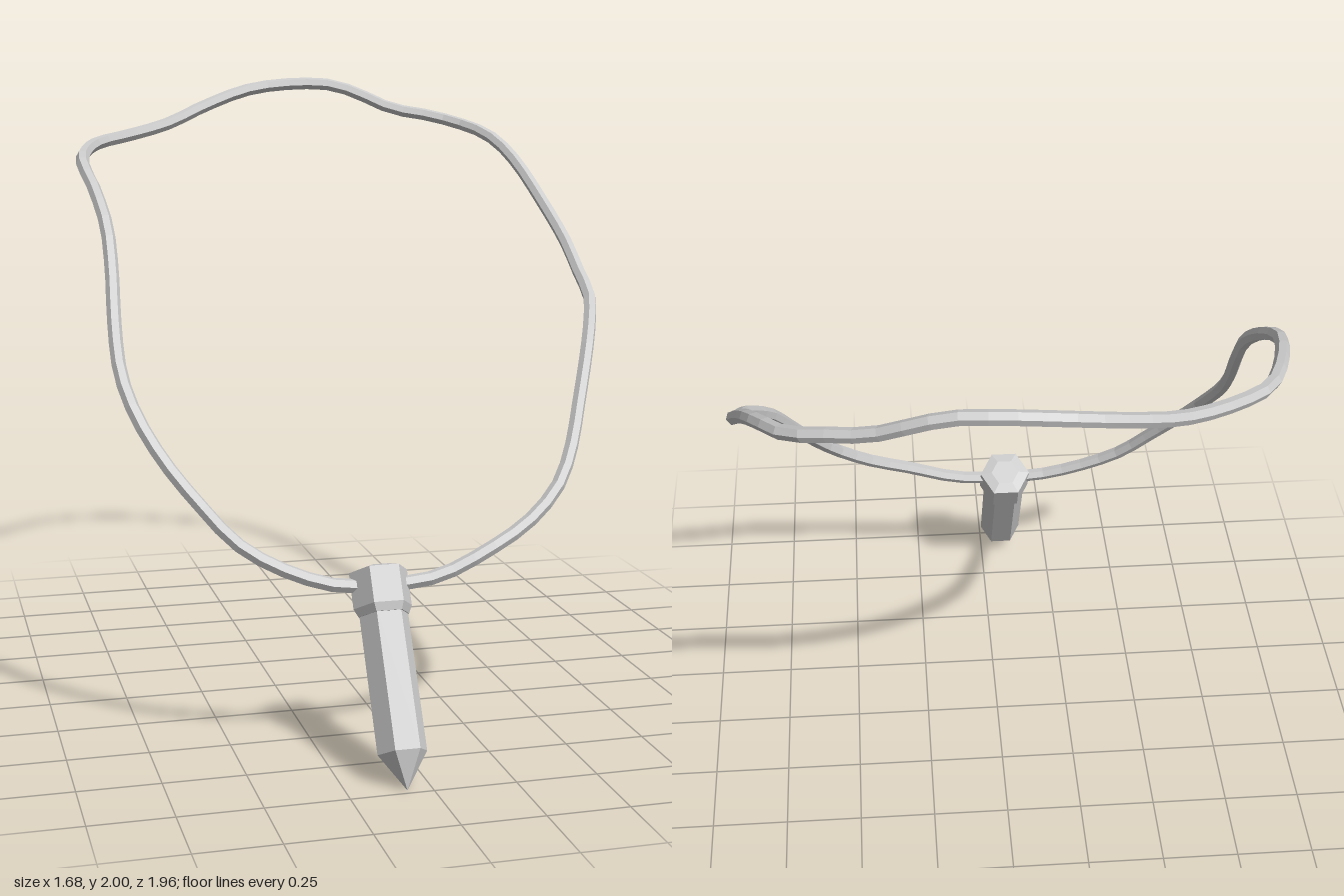
import * as THREE from 'three';

const material = new THREE.MeshStandardMaterial({ color: 0xcccccc, flatShading: true });

// Centre line of the cord, from the pendant round the left side, the back and the right side
const cordPoints = [
  [-0.07, 0.53, 0.68], [0.02, 0.53, 0.68], [0.12, 0.545, 0.675], [0.28, 0.61, 0.655],
  [0.42, 0.68, 0.615], [0.53, 0.77, 0.56], [0.6, 0.87, 0.485], [0.66, 0.99, 0.39],
  [0.735, 1.15, 0.265], [0.785, 1.24, 0.16], [0.81, 1.29, 0.09], [0.82, 1.37, -0.05],
  [0.82, 1.455, -0.17], [0.795, 1.59, -0.36], [0.765, 1.695, -0.5], [0.735, 1.76, -0.6],
  [0.695, 1.805, -0.69], [0.62, 1.84, -0.795], [0.53, 1.865, -0.84], [0.4, 1.89, -0.885],
  [0.3, 1.935, -0.92], [0.19, 1.975, -0.945], [0.03, 1.98, -0.96], [-0.13, 1.96, -0.95],
  [-0.3, 1.905, -0.89], [-0.45, 1.845, -0.805], [-0.6, 1.81, -0.705], [-0.72, 1.79, -0.6],
  [-0.785, 1.77, -0.45], [-0.82, 1.735, -0.27], [-0.8, 1.66, -0.13], [-0.78, 1.55, 0],
  [-0.78, 1.42, 0.1], [-0.79, 1.28, 0.21], [-0.79, 1.14, 0.33], [-0.76, 1.03, 0.42],
  [-0.69, 0.9, 0.505], [-0.59, 0.77, 0.575], [-0.5, 0.67, 0.62], [-0.4, 0.605, 0.65],
  [-0.25, 0.545, 0.675], [-0.16, 0.53, 0.68],
].map((p) => new THREE.Vector3(...p));

// Six-sided solid from a profile of [radius, height], corners towards +x and -x
function hexSolid(name, profile) {
  const points = profile.map(([r, h]) => new THREE.Vector2(r, h));
  const geometry = new THREE.LatheGeometry(points, 6).rotateY(Math.PI / 6);
  const mesh = new THREE.Mesh(geometry, material);
  mesh.name = name;
  return mesh;
}

export function createModel() {
  const model = new THREE.Group();
  model.name = 'pendantNecklace';

  // Cord: closed faceted loop
  const path = new THREE.CatmullRomCurve3(cordPoints, true, 'centripetal');
  const cord = new THREE.Mesh(new THREE.TubeGeometry(path, 84, 0.022, 6, true), material);
  cord.name = 'cord';
  model.add(cord);

  // Pendant: built upright from its tip, then leaned back
  const pendant = new THREE.Group();
  pendant.name = 'pendant';
  pendant.add(
    hexSolid('crystal', [[0, 0], [0.075, 0.108], [0.075, 0.53], [0, 0.53]]),
    hexSolid('cap', [[0, 0.515], [0.078, 0.515], [0.09, 0.54], [0.09, 0.65], [0.05, 0.662], [0, 0.662]]),
  );
  pendant.position.set(-0.075, 0, 0.98);
  pendant.rotation.x = -Math.PI / 6;
  model.add(pendant);

  return model;
}
